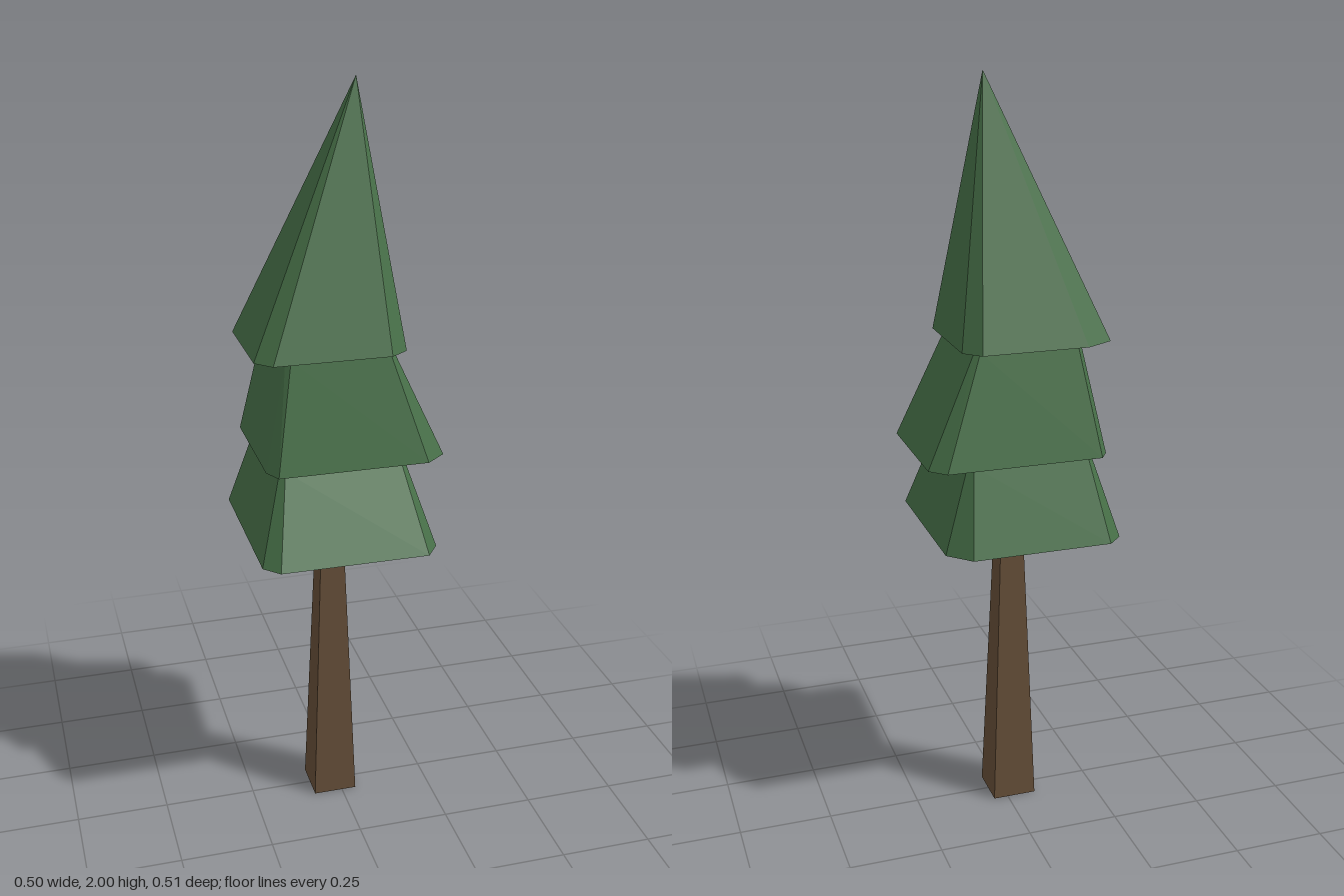
import * as THREE from 'three';

// Chamfered rectangle, clockwise from the back left corner; c = 0 gives a plain rectangle
function chamferRect(x0, x1, z0, z1, c) {
  if (c === 0) return [[x0, z0], [x1, z0], [x1, z1], [x0, z1]];
  return [[x0 + c, z0], [x1 - c, z0], [x1, z0 + c], [x1, z1 - c],
    [x1 - c, z1], [x0 + c, z1], [x0, z1 - c], [x0, z0 + c]];
}

// Closed faceted solid between two rings of [x, z]; a one-point upper ring makes a spire
function loft(name, material, low, y0, high, y1) {
  const pos = [];
  const n = low.length;
  const bottom = (i) => [low[i % n][0], y0, low[i % n][1]];
  const top = (i) => {
    const p = high[i % high.length];
    return [p[0], y1, p[1]];
  };
  const tri = (a, b, c) => pos.push(...a, ...b, ...c);
  for (let i = 0; i < n; i++) {
    if (high.length === 1) {
      tri(bottom(i), top(0), bottom(i + 1));
    } else {
      tri(bottom(i), top(i), top(i + 1));
      tri(bottom(i), top(i + 1), bottom(i + 1));
    }
  }
  for (let i = 1; i < n - 1; i++) {
    tri(bottom(0), bottom(i), bottom(i + 1));
    if (high.length > 1) tri(top(0), top(i + 1), top(i));
  }
  const geometry = new THREE.BufferGeometry();
  geometry.setAttribute('position', new THREE.Float32BufferAttribute(pos, 3));
  geometry.computeVertexNormals();
  const mesh = new THREE.Mesh(geometry, material);
  mesh.name = name;
  return mesh;
}

export function createModel() {
  const tree = new THREE.Group();
  tree.name = 'pineTree';
  const bark = new THREE.MeshStandardMaterial({ color: 0x654e38, flatShading: true });
  const needles = new THREE.MeshStandardMaterial({ color: 0x477048, flatShading: true });

  // Tapered square trunk
  tree.add(loft('trunk', bark,
    chamferRect(-0.08, 0.04, -0.06, 0.06, 0), 0,
    chamferRect(-0.05, 0.01, -0.03, 0.03, 0), 0.83));

  // Lower foliage skirt
  tree.add(loft('lowerFoliage', needles,
    [[-0.213, -0.257], [0.156, -0.257], [0.213, -0.2], [0.213, 0.205],
      [0.178, 0.255], [-0.213, 0.255], [-0.252, 0.215], [-0.252, -0.219]], 0.83,
    chamferRect(-0.183, 0.145, -0.185, 0.137, 0.012), 1.055));

  // Middle foliage skirt, leaning out to the left
  tree.add(loft('middleFoliage', needles,
    [[-0.197, -0.225], [0.212, -0.225], [0.251, -0.185], [0.251, 0.132],
      [0.197, 0.177], [-0.197, 0.177], [-0.22, 0.132], [-0.22, -0.19]], 1.055,
    chamferRect(-0.16, 0.12, -0.165, 0.117, 0.012), 1.34));

  // Pointed crown with an off-centre tip
  tree.add(loft('topFoliage', needles,
    [[-0.165, -0.197], [0.112, -0.197], [0.152, -0.155], [0.152, 0.113],
      [0.105, 0.148], [-0.2, 0.148], [-0.24, 0.107], [-0.24, -0.155]], 1.34,
    [[0.055, -0.024]], 2));

  return tree;
}
